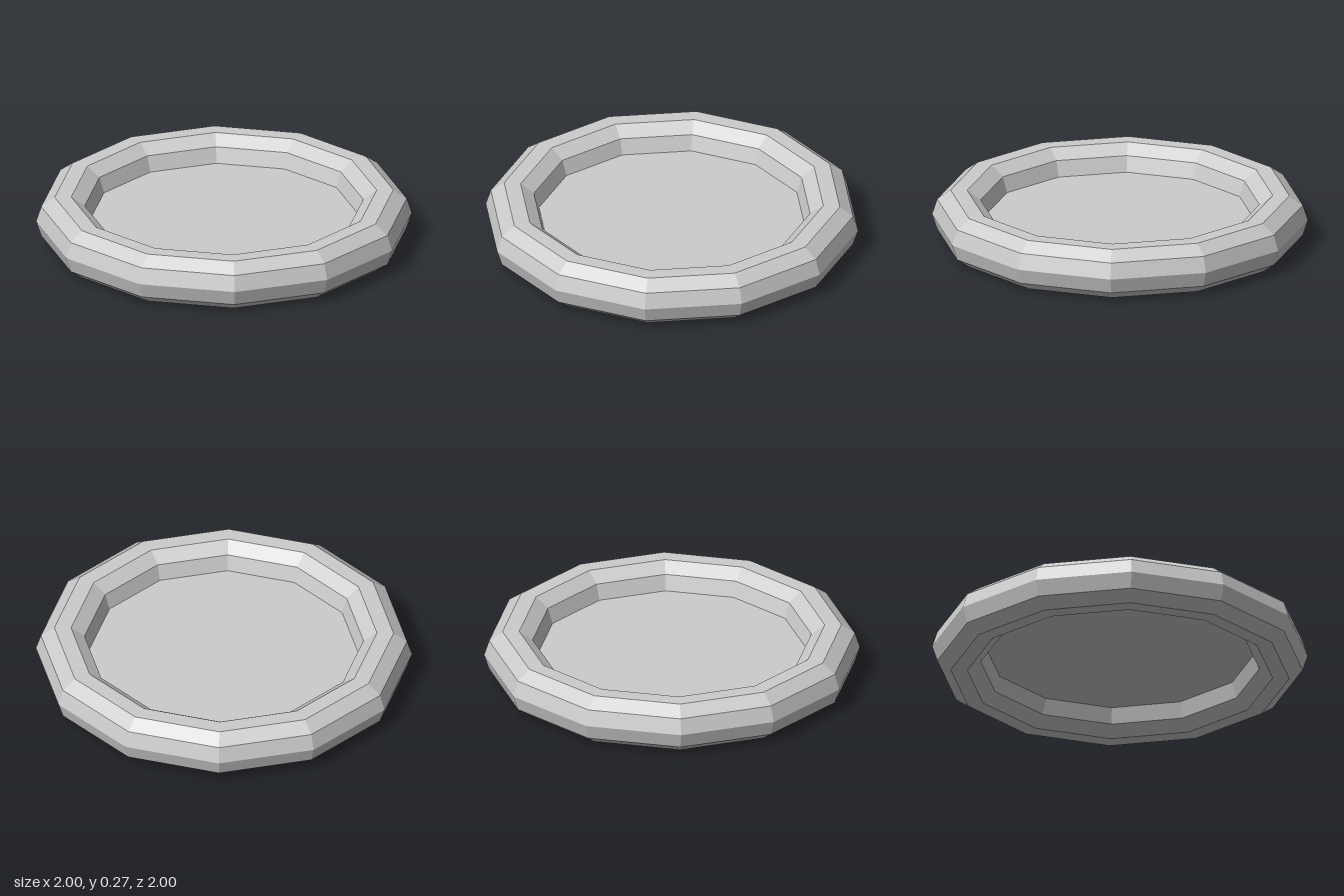
import * as THREE from 'three';

const SIDES = 12;
const RING = 0.857;  // radius to the middle of the tube
const TUBE = 0.143;  // radius of the ten-sided tube
const MID = TUBE * Math.sin(Math.PI * 0.4); // half the height of the tube

export function createModel() {
  const group = new THREE.Group();
  group.name = 'roundTray';

  // Faceted rim
  const rimGeometry = new THREE.TorusGeometry(RING, TUBE, 10, SIDES);
  rimGeometry.rotateX(-Math.PI / 2);
  const rim = new THREE.Mesh(
    rimGeometry,
    new THREE.MeshStandardMaterial({ color: 0xcccccc, flatShading: true })
  );
  rim.name = 'rim';
  rim.position.y = MID;
  group.add(rim);

  // Thin panel closing the ring at mid height
  const panelGeometry = new THREE.CircleGeometry(RING - TUBE, SIDES);
  panelGeometry.rotateX(-Math.PI / 2);
  const panel = new THREE.Mesh(
    panelGeometry,
    new THREE.MeshStandardMaterial({ color: 0xcccccc, flatShading: true, side: THREE.DoubleSide })
  );
  panel.name = 'centrePanel';
  panel.position.y = MID;
  group.add(panel);

  return group;
}
